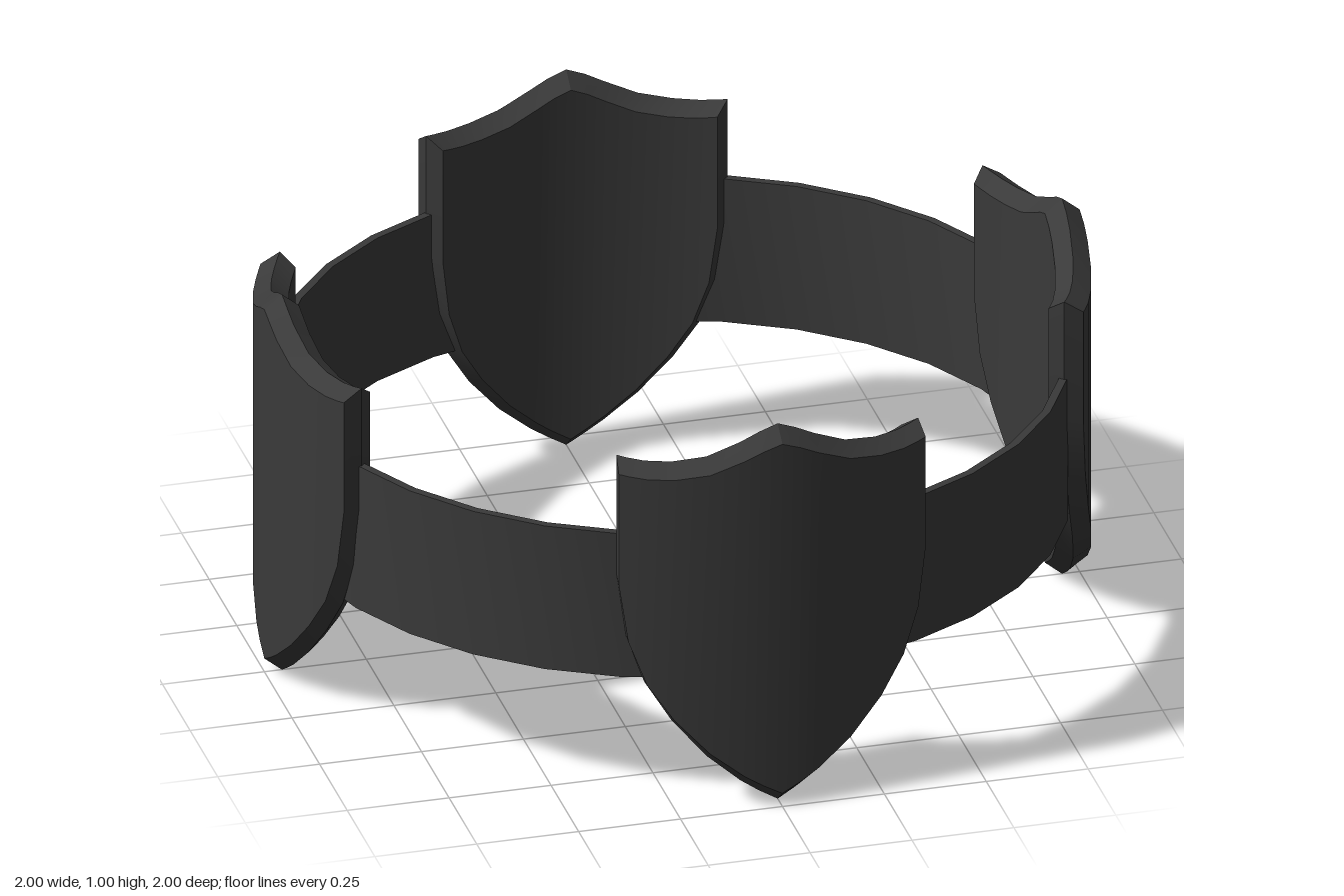
import * as THREE from 'three';
import { toCreasedNormals } from 'three/addons/utils/BufferGeometryUtils.js';

const material = new THREE.MeshStandardMaterial({ color: 0x3a3a3a });

// Half outline of the shield as columns: [x, top edge, bottom edge]
const HALF = [
  [0, 0.997, 0], [0.045, 0.98, 0.027], [0.09, 0.957, 0.058], [0.17, 0.922, 0.127],
  [0.25, 0.908, 0.222], [0.31, 0.907, 0.32], [0.35, 0.912, 0.44], [0.37, 0.916, 0.6],
];
const COLUMNS = [...HALF.slice(1).reverse().map(([x, t, b]) => [-x, t, b]), ...HALF];

// Layers through the thickness: bend radius and inset of the outline
const BEND_CENTRE = 0.19;
const MID_RADIUS = 0.767;
const FRONT = { radius: 0.81, sx: 0.96, sy: 0.93 };
const MIDDLE = { radius: MID_RADIUS, sx: 1, sy: 1 };
const BACK = { radius: 0.725, sx: 0.96, sy: 0.93 };

// Curved shield plate with a ridged rim
function shieldGeometry() {
  const point = (layer, i, row) => {
    const angle = Math.asin(COLUMNS[i][0] / MID_RADIUS) * layer.sx;
    return [
      layer.radius * Math.sin(angle),
      0.5 + (COLUMNS[i][row] - 0.5) * layer.sy,
      BEND_CENTRE + layer.radius * Math.cos(angle),
    ];
  };
  const positions = [];
  const quad = (a, b, c, d) => positions.push(...a, ...b, ...c, ...a, ...c, ...d);
  const TOP = 1, BOTTOM = 2, last = COLUMNS.length - 1;

  for (let i = 0; i < last; i++) {
    const j = i + 1;
    // outer and inner faces
    quad(point(FRONT, i, BOTTOM), point(FRONT, j, BOTTOM), point(FRONT, j, TOP), point(FRONT, i, TOP));
    quad(point(BACK, j, BOTTOM), point(BACK, i, BOTTOM), point(BACK, i, TOP), point(BACK, j, TOP));
    // top and bottom rim bevels
    for (const [f, k] of [[FRONT, MIDDLE], [MIDDLE, BACK]]) {
      quad(point(f, i, TOP), point(f, j, TOP), point(k, j, TOP), point(k, i, TOP));
      quad(point(f, j, BOTTOM), point(f, i, BOTTOM), point(k, i, BOTTOM), point(k, j, BOTTOM));
    }
  }
  // straight side bevels
  for (const [f, k] of [[FRONT, MIDDLE], [MIDDLE, BACK]]) {
    quad(point(f, last, BOTTOM), point(k, last, BOTTOM), point(k, last, TOP), point(f, last, TOP));
    quad(point(k, 0, BOTTOM), point(f, 0, BOTTOM), point(f, 0, TOP), point(k, 0, TOP));
  }
  const geometry = new THREE.BufferGeometry();
  geometry.setAttribute('position', new THREE.Float32BufferAttribute(positions, 3));
  return toCreasedNormals(geometry, 0.5);
}

// Thin ring joining the shields
function bandGeometry() {
  const inner = 0.925, outer = 0.945, low = 0.33, high = 0.71;
  const profile = [[outer, low], [outer, high], [inner, high], [inner, low], [outer, low]]
    .map(([r, y]) => new THREE.Vector2(r, y));
  return toCreasedNormals(new THREE.LatheGeometry(profile, 32), 0.5);
}

export function createModel() {
  const group = new THREE.Group();
  group.name = 'shieldRing';

  const band = new THREE.Mesh(bandGeometry(), material);
  band.name = 'band';
  group.add(band);

  // Four shields, a quarter turn apart
  const geometry = shieldGeometry();
  ['frontShield', 'leftShield', 'backShield', 'rightShield'].forEach((name, i) => {
    const shield = new THREE.Mesh(geometry, material);
    shield.name = name;
    shield.rotation.y = i * Math.PI / 2;
    group.add(shield);
  });
  return group;
}
